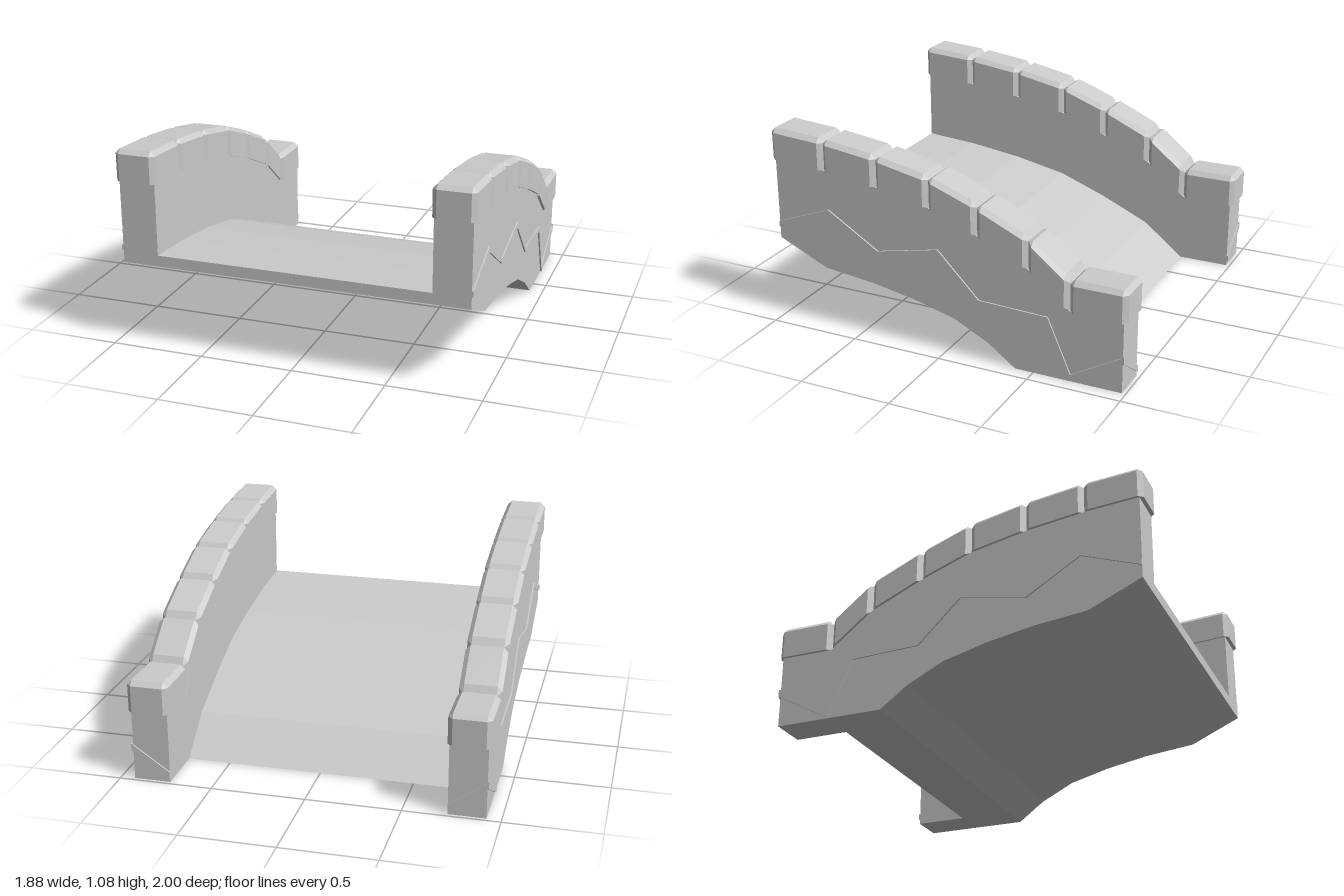
import * as THREE from 'three';
import { ConvexGeometry } from 'three/addons/geometries/ConvexGeometry.js';

const material = new THREE.MeshStandardMaterial({ color: 0xcccccc, flatShading: true });

function addMesh(parent, name, geometry) {
  const mesh = new THREE.Mesh(geometry, material);
  mesh.name = name;
  parent.add(mesh);
}

const toShape = (points) => new THREE.Shape(points.map(([a, b]) => new THREE.Vector2(a, b)));

// Extrude a [z, y] outline along x, centred on the given x
function sideExtrude(points, width, x) {
  const g = new THREE.ExtrudeGeometry(toShape(points), { depth: width, bevelEnabled: false });
  return g.rotateY(-Math.PI / 2).translate(x + width / 2, 0, 0);
}

// Coping stone: chamfered block sheared to follow the slope of the wall top
function copingStone(x, [z0, y0], [z1, y1], height) {
  const half = 0.11, c = 0.025, points = [];
  const add = (px, pz, h) => {
    const t = (pz - z0) / (z1 - z0);
    points.push(new THREE.Vector3(x + px, y0 + (y1 - y0) * t + h, pz));
  };
  for (const side of [-1, 1]) {
    for (const [end, inward] of [[z0, -1], [z1, 1]]) {
      for (const h of [0, height - c]) {
        add(side * half, end + inward * c, h);
        add(side * (half - c), end, h);
      }
      add(side * (half - c), end + inward * c, height);
    }
  }
  return new ConvexGeometry(points);
}

export function createModel() {
  const bridge = new THREE.Group();
  bridge.name = 'halfBridge';

  // Curves as [z, y], from the high middle of the span to the low end
  const crest = [[0.98, 0.91], [0.69, 0.89], [0.38, 0.85], [0.08, 0.79],
    [-0.19, 0.69], [-0.47, 0.565], [-0.695, 0.385]];
  const arch = [[-0.4, 0], [-0.25, 0.11], [-0.06, 0.205], [0.17, 0.265],
    [0.42, 0.31], [0.7, 0.34], [0.98, 0.465]];

  // Road deck: same curve as the wall crest, lowered
  const road = crest.map(([z, y]) => [z, y - 0.385]);
  addMesh(bridge, 'deck', sideExtrude([...road, ...arch], 1.46, 0));

  // Zigzag trim lines on the outer wall faces
  const trimTop = [[0.98, 0.56], [0.67, 0.678], [0.38, 0.5], [0.03, 0.575],
    [-0.2, 0.342], [-0.58, 0.33], [-0.705, 0.04], [-0.988, 0.2]];
  const trimBottom = [[0.98, 0.53], [0.67, 0.645], [0.38, 0.47], [0.03, 0.54],
    [-0.2, 0.315], [-0.565, 0.302], [-0.695, 0.003], [-0.988, 0.165]];

  // Stone joints along the coping
  const joints = [[1.0, 0.911], ...crest.slice(1)];

  for (const side of [-1, 1]) {
    const wall = new THREE.Group();
    wall.name = side > 0 ? 'leftWall' : 'rightWall';
    bridge.add(wall);

    const outline = [...crest, [-0.98, 0.385], [-0.98, 0], ...arch];
    addMesh(wall, 'parapet', sideExtrude(outline, 0.195, side * 0.8275));

    const trim = [...trimTop, ...trimBottom.slice().reverse()];
    addMesh(wall, 'zigzagTrim', sideExtrude(trim, 0.012, side * 0.927));

    // Trim continues around the low end of the wall
    const endTrim = toShape([[0.933, 0.2], [0.73, 0.06], [0.73, 0.025], [0.933, 0.165]]
      .map(([x, y]) => [side * x, y]));
    const endGeometry = new THREE.ExtrudeGeometry(endTrim, { depth: 0.012, bevelEnabled: false });
    addMesh(wall, 'endTrim', endGeometry.translate(0, 0, -0.988));

    for (let i = 0; i < joints.length - 1; i++) {
      addMesh(wall, 'copingStone', copingStone(side * 0.83, joints[i], joints[i + 1], 0.172));
    }
    addMesh(wall, 'endCopingStone', copingStone(side * 0.83, [-0.695, 0.382], [-1, 0.382], 0.172));
  }
  return bridge;
}
